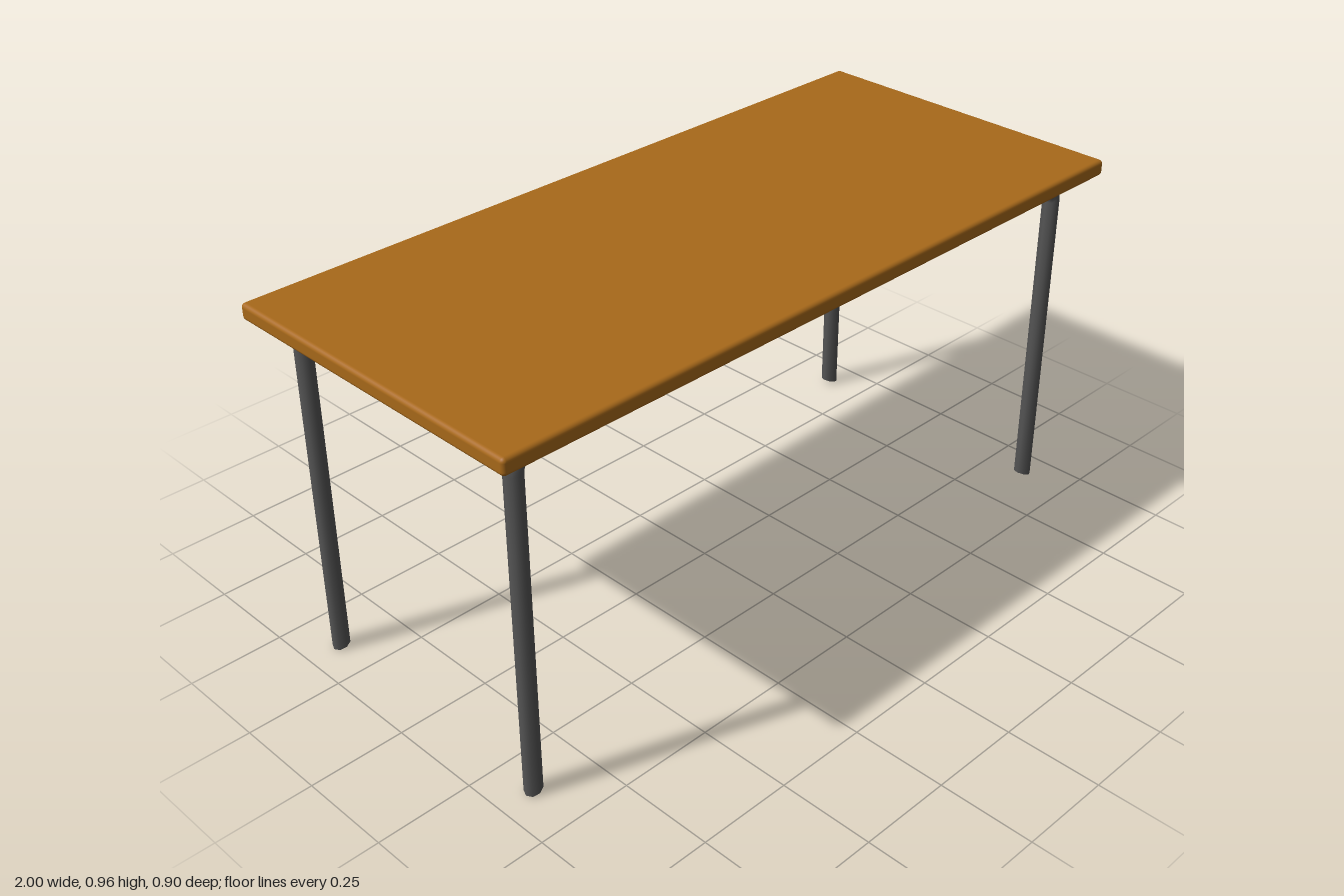
import * as THREE from 'three';
import { RoundedBoxGeometry } from 'three/addons/geometries/RoundedBoxGeometry.js';

const RADIUS = 0.0225, SIDES = 8, BEND = 0.045;
const LEG_X = 0.908, RAIL_Y = 0.898, LEG_Z = 0.365;

// One bent tube: left leg, bend, top rail, bend, right leg
function bentTubeGeometry() {
  // Half path: position plus the outward direction of the bend
  const half = [{ x: LEG_X, y: 0.007, a: 0 }];
  for (let i = 0; i <= 6; i++) {
    const a = (i / 6) * Math.PI / 2;
    half.push({
      x: LEG_X - BEND + BEND * Math.cos(a),
      y: RAIL_Y - BEND + BEND * Math.sin(a),
      a,
    });
  }
  const path = [...half, ...half.map((p) => ({ x: -p.x, y: p.y, a: Math.PI - p.a })).reverse()];

  const positions = [], indices = [];
  path.forEach((p, i) => {
    const foot = i === 0 || i === path.length - 1;
    for (let j = 0; j < SIDES; j++) {
      const t = (j / SIDES) * Math.PI * 2;
      const out = Math.cos(t) * RADIUS;
      // Feet are cut at a slight slant, lowest on the outside
      const dip = foot ? -0.007 * Math.cos(t) : 0;
      positions.push(p.x + out * Math.cos(p.a), p.y + out * Math.sin(p.a) + dip, Math.sin(t) * RADIUS);
    }
  });
  for (let i = 0; i < path.length - 1; i++) {
    for (let j = 0; j < SIDES; j++) {
      const k = (j + 1) % SIDES;
      const a = i * SIDES + j, b = i * SIDES + k;
      const c = a + SIDES, d = b + SIDES;
      indices.push(a, c, b, b, c, d);
    }
  }
  // End caps get their own vertices so their edges stay sharp
  for (const end of [0, path.length - 1]) {
    const base = positions.length / 3;
    for (let j = 0; j < SIDES * 3; j++) positions.push(positions[end * SIDES * 3 + j]);
    for (let j = 1; j < SIDES - 1; j++) {
      if (end === 0) indices.push(base, base + j, base + j + 1);
      else indices.push(base, base + j + 1, base + j);
    }
  }
  const geometry = new THREE.BufferGeometry();
  geometry.setAttribute('position', new THREE.Float32BufferAttribute(positions, 3));
  geometry.setIndex(indices);
  geometry.computeVertexNormals();
  return geometry;
}

export function createModel() {
  const group = new THREE.Group();
  group.name = 'table';
  const wood = new THREE.MeshStandardMaterial({ color: 0xa8691a });
  const metal = new THREE.MeshStandardMaterial({ color: 0x555555, side: THREE.DoubleSide });

  // Table top with softened edges
  const top = new THREE.Mesh(new RoundedBoxGeometry(2, 0.043, 0.905, 3, 0.011), wood);
  top.name = 'tableTop';
  top.position.y = 0.942;
  group.add(top);

  // Front and back leg frames
  const tube = bentTubeGeometry();
  for (const [name, z] of [['frontLegFrame', LEG_Z], ['backLegFrame', -LEG_Z]]) {
    const frame = new THREE.Mesh(tube, metal);
    frame.name = name;
    frame.position.z = z;
    group.add(frame);
  }
  return group;
}
